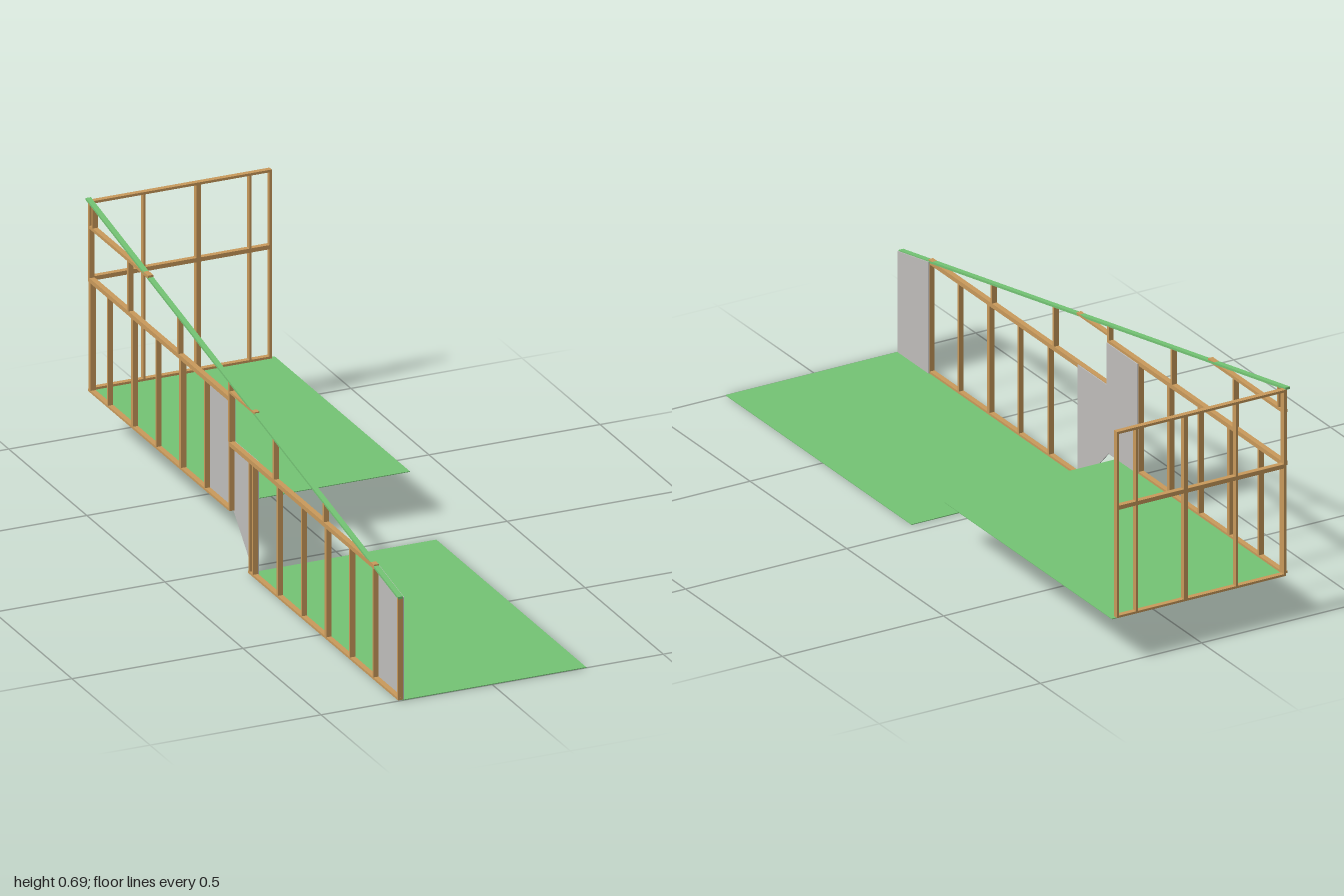
import * as THREE from 'three';

const T = 0.0064;                 // thickness of one board
const X0 = -0.275, X1 = -0.26;    // outer and inner faces of the side wall
const roofY = (z) => 0.3 + 0.1925 * (1 - z);

export function createModel() {
  const model = new THREE.Group();
  const mat = (name, color) => {
    const m = new THREE.MeshStandardMaterial({ color });
    m.name = name;
    return m;
  };
  const timber = mat('timber', 0xc99a5b);
  const green = mat('green', 0x74c474);
  const grey = mat('grey', 0xbfbdbb);

  const group = (name) => {
    const g = new THREE.Group();
    g.name = name;
    model.add(g);
    return g;
  };
  // Box given by its two opposite corners
  const box = (parent, name, x0, x1, y0, y1, z0, z1, material = timber) => {
    const m = new THREE.Mesh(new THREE.BoxGeometry(x1 - x0, y1 - y0, z1 - z0), material);
    m.position.set((x0 + x1) / 2, (y0 + y1) / 2, (z0 + z1) / 2);
    m.name = name;
    parent.add(m);
  };
  // Upright slab with a [z, y] outline, running from x0 to x1
  const slab = (parent, name, outline, x0, x1, material) => {
    const shape = new THREE.Shape(outline.map(([z, y]) => new THREE.Vector2(z, y)));
    const geo = new THREE.ExtrudeGeometry(shape, { depth: x1 - x0, bevelEnabled: false });
    geo.rotateY(-Math.PI / 2).translate(x1, 0, 0);
    const m = new THREE.Mesh(geo, material);
    m.name = name;
    parent.add(m);
  };

  // Floors
  const floors = group('floors');
  box(floors, 'lowerFloor', X1 - 0.002, 0.275, 0, 0.002, 0.04, 1, green);
  box(floors, 'upperFloor', X1 - 0.002, 0.275, 0.132, 0.134, -0.995, -0.13, green);

  // Side wall framing
  const side = group('sideWall');
  const plate = (name, y, z0, z1, h = T) => box(side, name, X0, X1, y, y + h, z0, z1);
  const stud = (name, z, y0, y1, w = T) => box(side, name, X0, X1, y0, y1, z - w / 2, z + w / 2);

  plate('lowerSolePlate', 0.002, 0.04, 1);
  plate('lowerTopPlate', 0.321, -0.08, 0.845, 2 * T);
  plate('upperSolePlate', 0.134, -0.985, -0.08);
  plate('upperTopPlate', 0.45, -0.985, -0.08, 2 * T);
  plate('middleGablePlate', 0.474, -0.08, 0.08);
  plate('rearGablePlate', 0.605, -0.985, -0.6, 0.009);

  for (const [z, w] of [[0.84, 1], [0.69, 1], [0.535, 2], [0.38, 1], [0.225, 1.5], [0.068, 1], [0.045, 1]])
    stud('lowerStud', z, 0.008, 0.322, w * T);
  stud('frontPost', 0.9965, 0.008, 0.297);
  for (const [z, w] of [[-0.083, 1], [-0.24, 1], [-0.395, 2], [-0.55, 1], [-0.705, 2], [-0.86, 1], [-0.975, 2]])
    stud('upperStud', z, 0.14, 0.451, w * T);

  // Short studs reaching up to the sloping rail
  for (const [z, y] of [[0.52, 0.333], [0.2, 0.333], [-0.083, 0.333], [-0.41, 0.462], [-0.96, 0.613], [-0.98, 0.462]])
    stud('gableStud', z, y, roofY(z) - 0.005, 1.4 * T);
  stud('gableStud', -0.73, 0.462, 0.606, 1.4 * T);

  // Sloping roof rail
  slab(side, 'roofRail',
    [[1, roofY(1) - T], [1, roofY(1)], [-1, roofY(-1)], [-1, roofY(-1) - T]], X0, X1, green);

  // Grey sheathing on the inner face
  const panels = group('panels');
  slab(panels, 'frontPanel',
    [[1, 0.002], [1, 0.297], [0.84, 0.328], [0.84, 0.002]], X1, X1 + 0.003, grey);
  slab(panels, 'stepPanel',
    [[0.07, 0.002], [0.07, 0.332], [-0.08, 0.332], [-0.08, 0.455], [-0.24, 0.455],
      [-0.24, 0.134], [-0.09, 0.134], [0.04, 0.002]], X1, X1 + 0.003, grey);

  // Back wall framing
  const back = group('backWall');
  const Z0 = -1, Z1 = -0.985, L = -0.262, R = 0.262;
  box(back, 'solePlate', L, R, 0.134, 0.134 + T, Z0, Z1);
  box(back, 'middlePlate', L, R, 0.45, 0.462, Z0, Z1);
  box(back, 'topPlate', L, R, 0.672, 0.679, Z0, Z1);
  for (const [x, w] of [[L + T / 2, 1], [-0.11, 1], [0.048, 2], [0.2, 1], [R - T / 2, 1]])
    for (const [y0, y1] of [[0.14, 0.45], [0.462, 0.672]])
      box(back, 'backStud', x - w * T / 2, x + w * T / 2, y0, y1, Z0, Z1);
  return model;
}
